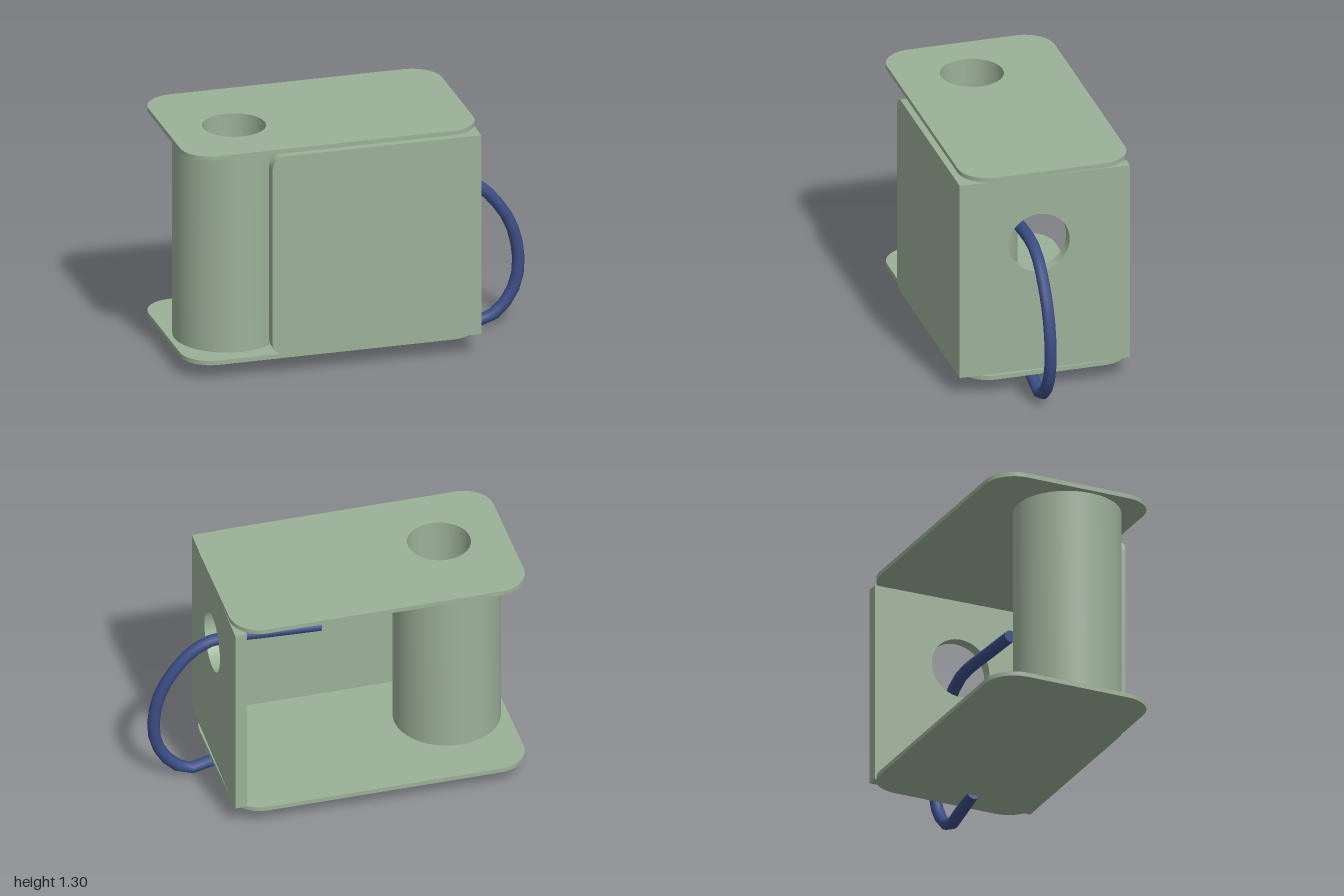
import * as THREE from 'three';
import { toCreasedNormals } from 'three/addons/utils/BufferGeometryUtils.js';

const sage = new THREE.MeshStandardMaterial({ color: 0x9cb098 });
sage.name = 'sage green';
const blue = new THREE.MeshStandardMaterial({ color: 0x3b4d85 });
blue.name = 'cable blue';

// Rectangle with its own radius at each corner: bottom left, bottom right, top right, top left
function roundedRect(x0, y0, x1, y1, [bl, br, tr, tl]) {
  const s = new THREE.Shape();
  const corner = (x, y, r, a) => {
    if (r) s.absarc(x, y, r, a, a + Math.PI / 2, false);
    else s.lineTo(x, y);
  };
  s.moveTo(x0 + bl, y0);
  corner(x1 - br, y0 + br, br, -Math.PI / 2);
  corner(x1 - tr, y1 - tr, tr, 0);
  corner(x0 + tl, y1 - tl, tl, Math.PI / 2);
  if (bl) corner(x0 + bl, y0 + bl, bl, Math.PI);
  else s.lineTo(x0, y0);
  return s;
}

const circle = (x, y, r) => new THREE.Path().absarc(x, y, r, 0, Math.PI * 2, true);

function extrude(shape, depth, curveSegments) {
  const g = new THREE.ExtrudeGeometry(shape, { depth, curveSegments, bevelEnabled: false });
  return toCreasedNormals(g, 0.5);
}

export function createModel() {
  const group = new THREE.Group();
  const add = (name, geometry, material) => {
    const mesh = new THREE.Mesh(geometry, material);
    mesh.name = name;
    group.add(mesh);
    return mesh;
  };

  const bore = { x: -0.625, z: 0.04, r: 0.173 };

  // Horizontal plates; the upper one is pierced by the bore
  const plate = (name, y, pierced) => {
    const r = 0.17;
    const s = roundedRect(-1, -0.455, 0.65, 0.49, [r, r, r, r]);
    if (pierced) s.holes.push(circle(bore.x, -bore.z, bore.r));
    add(name, extrude(s, 0.025, pierced ? 16 : 6).rotateX(-Math.PI / 2).translate(0, y, 0), sage);
  };
  plate('bottomPlate', 0.095, false);
  plate('topPlate', 1.282, true);

  // Post with an off-centre bore
  const post = new THREE.Shape().absarc(-0.677, -0.073, 0.293, 0, Math.PI * 2, false);
  post.holes.push(circle(bore.x, -bore.z, bore.r));
  add('post', extrude(post, 1.164, 48).rotateX(-Math.PI / 2).translate(0, 0.119, 0), sage);

  // Front panel, rounded on its free edge
  const front = roundedRect(-0.54, 0.125, 0.59, 1.278, [0.08, 0, 0, 0.08]);
  add('frontPanel', extrude(front, 0.065, 8).translate(0, 0, 0.424), sage);

  // Side panel with a cable hole, slightly skewed
  const side = roundedRect(-0.49, 0.125, 0.465, 1.278, [0, 0, 0, 0]);
  side.holes.push(circle(-0.044, 0.881, 0.171));
  const sideGeometry = extrude(side, 0.065, 32).rotateY(Math.PI / 2);
  const p = sideGeometry.attributes.position;
  for (let i = 0; i < p.count; i++) p.setX(i, p.getX(i) + 0.58 - 0.021 * p.getZ(i));
  add('sidePanel', sideGeometry, sage);

  // Cable looping out of the hole and back under the bottom plate
  const path = new THREE.CatmullRomCurve3([
    [0.03, 0.85], [0.3, 0.862], [0.56, 0.873], [0.65, 0.862], [0.75, 0.81], [0.85, 0.7],
    [0.925, 0.57], [0.964, 0.38], [0.945, 0.23], [0.875, 0.11], [0.77, 0.037],
    [0.65, 0.06], [0.49, 0.102],
  ].map(([x, y]) => new THREE.Vector3(x, y, 0.076)));
  const radius = 0.034;
  add('cable', new THREE.TubeGeometry(path, 22, radius, 10), blue);
  for (const t of [0, 1]) {
    const cap = add('cableEnd', new THREE.CircleGeometry(radius, 10), blue);
    const out = path.getTangentAt(t).multiplyScalar(t ? 1 : -1);
    cap.quaternion.setFromUnitVectors(new THREE.Vector3(0, 0, 1), out);
    cap.position.copy(path.getPointAt(t));
  }

  return group;
}
